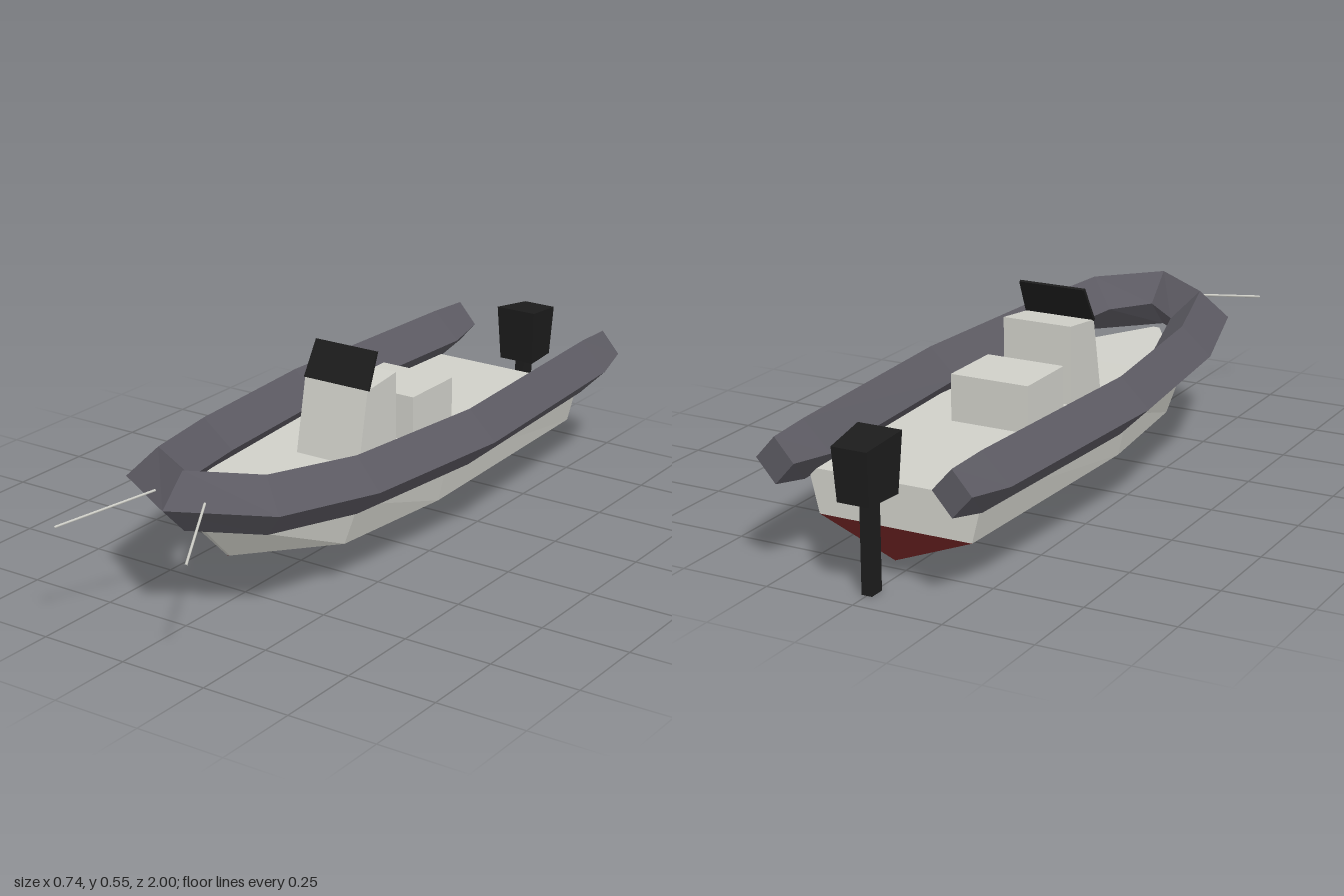
import * as THREE from 'three';

const mat = (name, color) => {
  const m = new THREE.MeshStandardMaterial({ color });
  m.name = name;
  return m;
};

// Flat-faceted skin over rings of points; rings run counter-clockwise seen from the advancing end
function loft(rings, closed = true, caps = true) {
  const pos = [];
  const tri = (a, b, c) => pos.push(...a, ...b, ...c);
  const n = rings[0].length;
  for (let i = 0; i < rings.length - 1; i++) {
    const p = rings[i], q = rings[i + 1];
    for (let j = 0; j < (closed ? n : n - 1); j++) {
      const k = (j + 1) % n;
      tri(p[j], p[k], q[k]);
      tri(p[j], q[k], q[j]);
    }
  }
  if (caps) {
    const s = rings[0], e = rings[rings.length - 1];
    for (let j = 1; j < n - 1; j++) {
      tri(s[0], s[j + 1], s[j]);
      tri(e[0], e[j], e[j + 1]);
    }
  }
  const g = new THREE.BufferGeometry();
  g.setAttribute('position', new THREE.Float32BufferAttribute(pos, 3));
  g.computeVertexNormals();
  return g;
}

// Four-cornered mirrored ring: lower and upper [halfWidth, y, z]
const ring4 = ([a, b, c], [d, e, f]) => [[a, b, c], [d, e, f], [-d, e, f], [-a, b, c]];

export function createModel() {
  const boat = new THREE.Group();
  boat.name = 'inflatableBoat';
  const rubber = mat('slateRubber', 0x5c5a62);
  const white = mat('offWhite', 0xcfcfc8);
  const red = mat('bottomRed', 0x561a1a);
  const black = mat('black', 0x1c1c1c);

  const add = (name, geo, material, parent = boat) => {
    const m = new THREE.Mesh(geo, material);
    m.name = name;
    parent.add(m);
    return m;
  };

  // Hull stations: z, deck half width, chine half width, keel y
  const stations = [
    [-0.8, 0.25, 0.22, 0.045],
    [-0.05, 0.272, 0.245, 0.035],
    [0.34, 0.248, 0.205, 0.065],
  ];
  const topsides = stations.map(([z, d, c]) => ring4([c, 0.13, z], [d, 0.25, z]));
  topsides.push(ring4([0.005, 0.13, 0.57], [0.01, 0.26, 0.7]));
  add('topsidesAndDeck', loft(topsides, false), white);

  const bottom = stations.map(([z, , c, k]) => [[-c, 0.13, z], [0, k, z], [c, 0.13, z]]);
  bottom.push([[-0.005, 0.13, 0.57], [0, 0.129, 0.57], [0.005, 0.13, 0.57]]);
  add('hullBottom', loft(bottom, false), red);

  // Buoyancy tube: outer [x, z], ridge [x, z], inner [x, z], centre y, radius
  const tube = [
    [[0.305, -0.945], [0.25, -0.945], [0.195, -0.945], 0.312, 0.062],
    [[0.335, -0.81], [0.255, -0.81], [0.175, -0.81], 0.3, 0.08],
    [[0.372, -0.13], [0.29, -0.13], [0.207, -0.13], 0.3, 0.08],
    [[0.328, 0.36], [0.247, 0.345], [0.165, 0.33], 0.307, 0.081],
    [[0.243, 0.676], [0.172, 0.63], [0.1, 0.586], 0.33, 0.081],
    [[0, 0.83], [0, 0.747], [0, 0.667], 0.341, 0.081],
  ];
  const side = tube.map(([o, r, i, y, h]) =>
    [[o[0], y, o[1]], [r[0], y + h, r[1]], [i[0], y, i[1]], [r[0], y - h, r[1]]]);
  const mirrored = side.slice(0, -1).reverse().map(r => r.map(([x, y, z]) => [-x, y, z]));
  add('buoyancyTube', loft([...side, ...mirrored]), rubber);

  // Steering console with sloping front, and its raked windscreen
  add('console', loft([
    ring4([0.102, 0.245, -0.055], [0.102, 0.47, -0.055]),
    ring4([0.102, 0.245, 0.125], [0.102, 0.455, 0.083]),
  ]), white);
  add('windscreen', loft([
    ring4([0.105, 0.453, 0.077], [0.099, 0.55, 0.028]),
    ring4([0.105, 0.456, 0.085], [0.099, 0.553, 0.036]),
  ]), black);

  // Helm seat
  const seat = add('seat', new THREE.BoxGeometry(0.23, 0.135, 0.2), white);
  seat.position.set(0, 0.3125, -0.22);

  // Outboard motor
  const motor = new THREE.Group();
  motor.name = 'outboardMotor';
  boat.add(motor);
  add('motorCowl', loft([
    ring4([0.045, 0.253, -0.987], [0.05, 0.398, -1]),
    ring4([0.055, 0.253, -0.868], [0.063, 0.415, -0.858]),
  ]), black, motor);
  const leg = add('motorLeg', new THREE.BoxGeometry(0.03, 0.26, 0.046), black, motor);
  leg.position.set(0, 0.13, -0.912);

  // Thin bow lines, one each side
  for (const s of [1, -1]) {
    const path = new THREE.LineCurve3(
      new THREE.Vector3(s * 0.078, 0.356, 0.76), new THREE.Vector3(s * 0.205, 0.308, 0.998));
    add(s > 0 ? 'leftBowLine' : 'rightBowLine', new THREE.TubeGeometry(path, 1, 0.0035, 6), white);
  }
  return boat;
}
